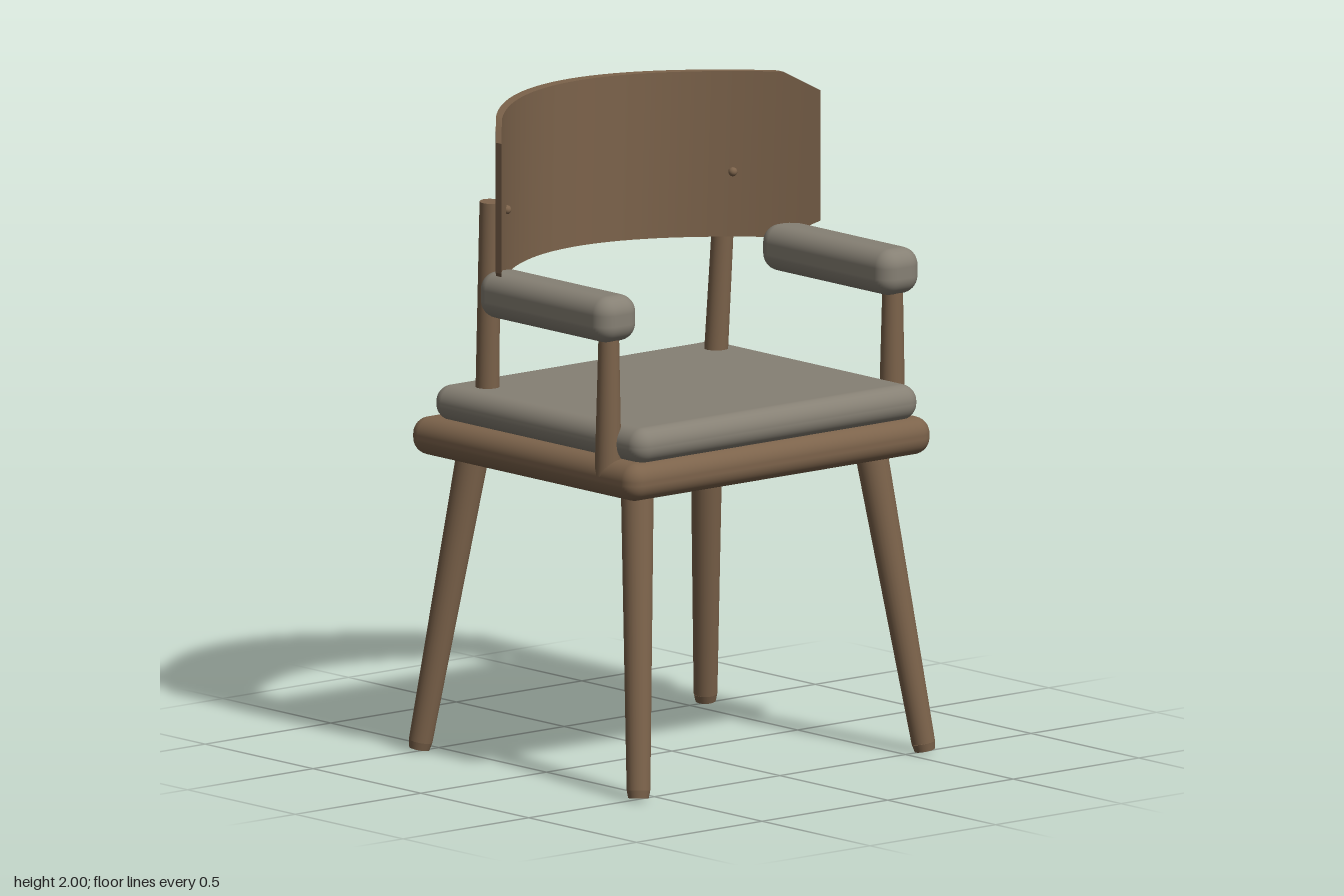
import * as THREE from 'three';
import { RoundedBoxGeometry } from 'three/addons/geometries/RoundedBoxGeometry.js';

const wood = new THREE.MeshStandardMaterial({ color: 0x7c634b });
wood.name = 'wood';
const fabric = new THREE.MeshStandardMaterial({ color: 0x868074 });
fabric.name = 'fabric';

function add(parent, name, geometry, material, x = 0, y = 0, z = 0) {
  const mesh = new THREE.Mesh(geometry, material);
  mesh.name = name;
  mesh.position.set(x, y, z);
  parent.add(mesh);
  return mesh;
}

// Tapered rod between two points, given as [x, y, z]
function rod(parent, name, from, to, rFrom, rTo) {
  const a = new THREE.Vector3(...from);
  const b = new THREE.Vector3(...to);
  const dir = b.clone().sub(a);
  const mesh = add(parent, name, new THREE.CylinderGeometry(rTo, rFrom, dir.length(), 24), wood);
  mesh.position.copy(a).add(b).multiplyScalar(0.5);
  mesh.quaternion.setFromUnitVectors(new THREE.Vector3(0, 1, 0), dir.normalize());
  return mesh;
}

// Curved back panel: a box bent along a parabola, with its corners cut
function backPanelGeometry() {
  const half = 0.635, halfHeight = 0.255;
  const geometry = new THREE.BoxGeometry(half * 2, halfHeight * 2, 0.04, 34, 1, 1);
  const p = geometry.attributes.position;
  for (let i = 0; i < p.count; i++) {
    const x = p.getX(i);
    const cut = Math.max(0, Math.abs(x) - 0.56) * 0.73;
    p.setY(i, Math.sign(p.getY(i)) * (halfHeight - cut));
    p.setZ(i, p.getZ(i) > 0 ? -0.437 + 0.96 * x * x : -0.475 + 0.99 * x * x);
  }
  geometry.computeVertexNormals();
  return geometry;
}

export function createModel() {
  const chair = new THREE.Group();
  chair.name = 'armchair';

  // Seat
  add(chair, 'seatFrame', new RoundedBoxGeometry(1.21, 0.116, 1.05, 6, 0.052), wood, 0, 0.973, -0.003);
  add(chair, 'seatCushion', new RoundedBoxGeometry(1.13, 0.11, 0.975, 6, 0.052), fabric, 0, 1.078, 0.02);

  // Backrest
  add(chair, 'backPanel', backPanelGeometry(), wood, 0, 1.745, 0);

  for (const [label, s] of [['left', 1], ['right', -1]]) {
    // Splayed legs with small bevelled feet
    for (const [end, t] of [['Front', 1], ['Back', -1]]) {
      const top = [s * 0.462, 0.95, t * 0.377];
      const ankle = [s * 0.567, 0.03, t * 0.505];
      const foot = [s * 0.57, 0.006, t * 0.508];
      rod(chair, `${label}${end}Leg`, ankle, top, 0.036, 0.05);
      rod(chair, `${label}${end}Foot`, foot, ankle, 0.031, 0.036);
    }

    // Back posts, leaning forward to meet the panel
    rod(chair, `${label}BackPost`, [s * 0.452, 1.0, -0.332], [s * 0.47, 1.71, -0.296], 0.037, 0.032);
    add(chair, `${label}Screw`, new THREE.SphereGeometry(0.014, 16, 10), wood, s * 0.45, 1.69, -0.242);

    // Padded arms on upright supports
    rod(chair, `${label}ArmPost`, [s * 0.565, 0.98, 0.362], [s * 0.565, 1.42, 0.365], 0.041, 0.031);
    add(chair, `${label}Armrest`, new RoundedBoxGeometry(0.153, 0.142, 0.605, 6, 0.054), fabric, s * 0.562, 1.464, 0.126);
  }
  return chair;
}
